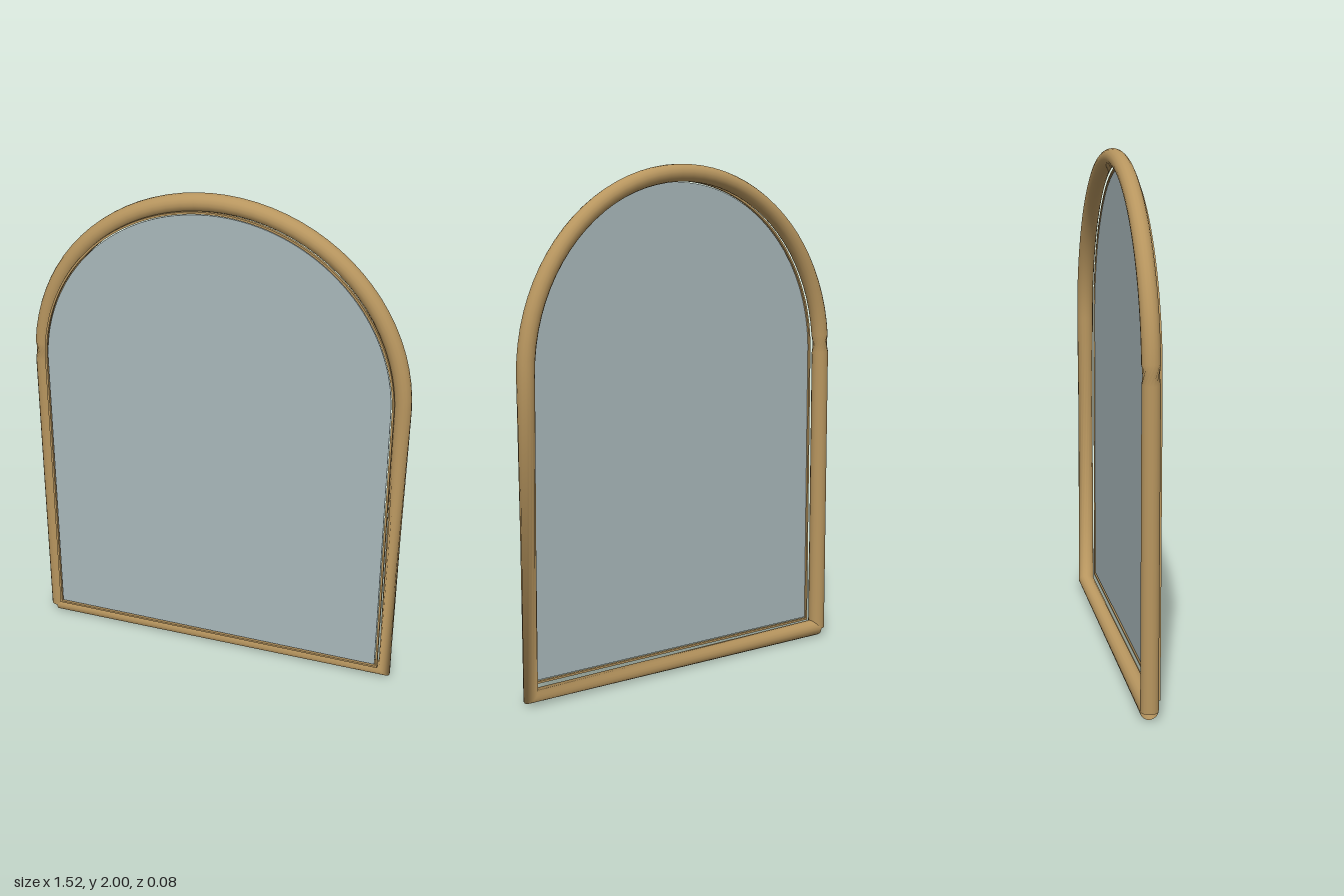
import * as THREE from 'three';

const ARCH_Y = 1.238;   // height of the arch centre
const R = 0.728;        // arch radius along the tube's centre line
const TUBE = 0.034;     // tube radius
const BASE_Y = 0.036;   // height of the bottom rail's centre line
const FRAME_Z = -0.006;

// Arched outline: straight sides, flat bottom, half-round top
function archOutline(target, halfWidth, bottom) {
  target.moveTo(-halfWidth, bottom);
  target.lineTo(halfWidth, bottom);
  target.lineTo(halfWidth, ARCH_Y);
  target.absarc(0, ARCH_Y, halfWidth, 0, Math.PI, false);
  target.closePath();
  return target;
}

// Skin round rings; each ring has a centre, an in-plane outward angle and a twist
function tubeFromRings(rings, sides) {
  const pos = [], nor = [], idx = [];
  for (const { x, y, angle, twist } of rings) {
    for (let j = 0; j < sides; j++) {
      const a = (j / sides) * Math.PI * 2 + twist;
      const n = [Math.cos(a) * Math.cos(angle), Math.cos(a) * Math.sin(angle), Math.sin(a)];
      nor.push(...n);
      pos.push(x + n[0] * TUBE, y + n[1] * TUBE, FRAME_Z + n[2] * TUBE);
    }
  }
  for (let i = 0; i < rings.length - 1; i++) {
    for (let j = 0; j < sides; j++) {
      const k = (j + 1) % sides;
      const a = i * sides + j, b = i * sides + k;
      const c = a + sides, d = b + sides;
      idx.push(a, b, c, b, d, c);
    }
  }
  const g = new THREE.BufferGeometry();
  g.setAttribute('position', new THREE.Float32BufferAttribute(pos, 3));
  g.setAttribute('normal', new THREE.Float32BufferAttribute(nor, 3));
  g.setIndex(idx);
  return g;
}

export function createModel() {
  const model = new THREE.Group();
  model.name = 'archedMirror';

  const wood = new THREE.MeshStandardMaterial({ color: 0xb8965f, side: THREE.DoubleSide });
  wood.name = 'tan wood';
  const glass = new THREE.MeshStandardMaterial({ color: 0xa9b8bb, side: THREE.DoubleSide });
  glass.name = 'pale grey glass';

  const add = (name, geometry, material) => {
    const mesh = new THREE.Mesh(geometry, material);
    mesh.name = name;
    model.add(mesh);
  };

  // Tube frame: up one side, over the arch, down the twisted side, back along the bottom
  const rings = [
    { x: -R, y: BASE_Y, angle: Math.PI, twist: 0 },
    { x: -R, y: ARCH_Y - 0.005, angle: Math.PI, twist: 0 },
  ];
  const archSteps = 40, archStart = Math.PI - 0.09;
  for (let i = 0; i <= archSteps; i++) {
    const t = archStart * (1 - i / archSteps);
    rings.push({ x: R * Math.cos(t), y: ARCH_Y + R * Math.sin(t), angle: t, twist: 1.3 });
  }
  rings.push({ x: R, y: BASE_Y, angle: -Math.PI / 4, twist: 2.4 });
  rings.push({ x: -R, y: BASE_Y, angle: -Math.PI / 2, twist: 2.4 });
  add('frame', tubeFromRings(rings, 16), wood);

  // Thin bead around the pane
  const bead = archOutline(new THREE.Shape(), 0.705, 0.064);
  bead.holes.push(archOutline(new THREE.Path(), 0.697, 0.072));
  const beadGeometry = new THREE.ExtrudeGeometry(bead, { depth: 0.012, bevelEnabled: false, curveSegments: 48 });
  beadGeometry.translate(0, 0, 0.027);
  add('bead', beadGeometry, wood);

  // Mirror pane, set just inside the bead
  const pane = archOutline(new THREE.Shape(), 0.693, 0.077);
  const paneGeometry = new THREE.ExtrudeGeometry(pane, { depth: 0.004, bevelEnabled: false, curveSegments: 48 });
  paneGeometry.translate(0, 0, 0.031);
  add('pane', paneGeometry, glass);

  return model;
}
